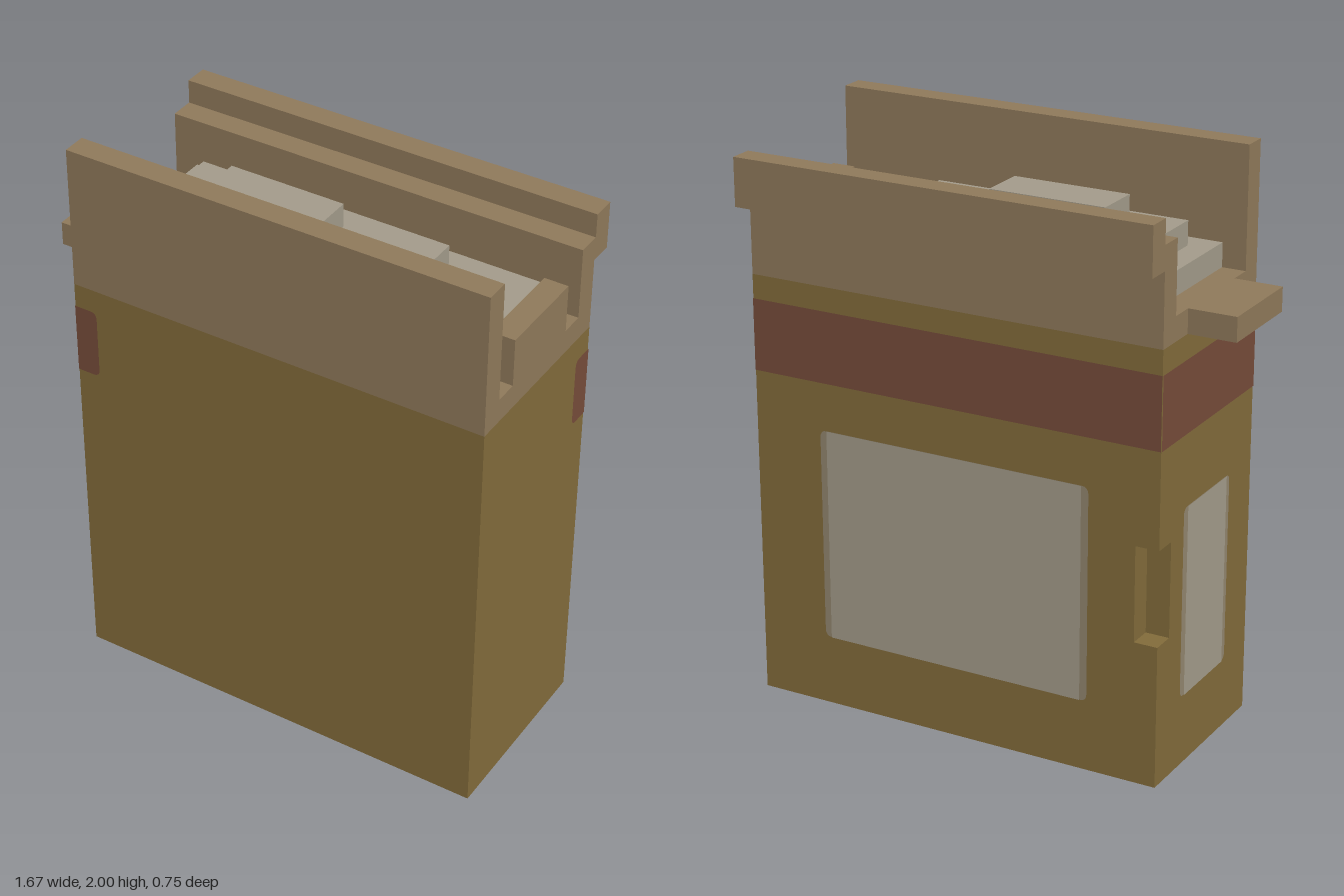
import * as THREE from 'three';

const U = 1 / 12; // one grid step of the blocky design

const material = (name, color) => {
  const m = new THREE.MeshStandardMaterial({ color });
  m.name = name;
  return m;
};

export function createModel() {
  const olive = material('olive', 0x836c3b);
  const tan = material('tan', 0x907a5b);
  const grey = material('warm grey', 0xa49c8b);
  const edge = material('panel edge', 0x93866f);
  const red = material('dark red', 0x774c3a);

  const model = new THREE.Group();
  model.name = 'boxContainer';

  const add = (name, geometry, mat) => {
    const mesh = new THREE.Mesh(geometry, mat);
    mesh.name = name;
    model.add(mesh);
    return mesh;
  };

  // Box given by its limits in grid steps
  const box = (name, mat, [x0, x1], [y0, y1], [z0, z1]) => {
    const g = new THREE.BoxGeometry(x1 - x0, y1 - y0, z1 - z0);
    add(name, g.translate((x0 + x1) / 2, (y0 + y1) / 2, (z0 + z1) / 2), mat);
  };

  // Painted plate on a wall: a runs to the right as seen facing that wall
  const walls = {
    front: [0, 4.5], plusX: [Math.PI / 2, 10],
    back: [Math.PI, 3.5], minusX: [-Math.PI / 2, 8],
  };
  const plate = (name, mat, wall, [a0, a1], [y0, y1], rLeft, rRight, lift = 0.03) => {
    const [angle, distance] = walls[wall];
    const s = new THREE.Shape();
    s.moveTo(a0 + rLeft, y0);
    s.lineTo(a1 - rRight, y0);
    s.quadraticCurveTo(a1, y0, a1, y0 + rRight);
    s.lineTo(a1, y1 - rRight);
    s.quadraticCurveTo(a1, y1, a1 - rRight, y1);
    s.lineTo(a0 + rLeft, y1);
    s.quadraticCurveTo(a0, y1, a0, y1 - rLeft);
    s.lineTo(a0, y0 + rLeft);
    s.quadraticCurveTo(a0, y0, a0 + rLeft, y0);
    const g = new THREE.ShapeGeometry(s, 4);
    add(name, g.translate(0, 0, distance + lift).rotateY(angle), mat);
  };

  // Body, with a small notch cut into the back corner
  const bodyX = [-8, 10], bodyZ = [-3.5, 4.5];
  box('bodyBottom', olive, bodyX, [0, 6], bodyZ);
  const notched = new THREE.Shape([
    [-8, -4.5], [10, -4.5], [10, 3.5], [-7, 3.5], [-7, 2.5], [-8, 2.5],
  ].map(([x, y]) => new THREE.Vector2(x, y)));
  const middle = new THREE.ExtrudeGeometry(notched, { depth: 4, bevelEnabled: false });
  add('bodyMiddle', middle.rotateX(-Math.PI / 2).translate(0, 6, 0), olive);
  box('bodyTop', olive, bodyX, [10, 18], bodyZ);

  // Upper rim: floor, walls, outer lip, end block and tab
  box('rimFloor', tan, bodyX, [18, 19], bodyZ);
  box('frontWall', tan, bodyX, [19, 24], [3.5, 4.5]);
  box('backWall', tan, bodyX, [19, 22], [-3.5, -2.5]);
  box('backLip', tan, bodyX, [21, 23], [-4.5, -3.5]);
  box('endBlock', tan, [9, 10], [19, 21], [-1.5, 2.5]);
  box('sideTab', tan, [-10, -8], [18, 19], [-1.5, 2.5]);

  // Stepped contents
  box('contentsLower', grey, [-7, 9], [19, 20], [-2.5, 3.5]);
  box('contentsMiddle', grey, [-6, 5], [20, 21], [-1.5, 2.5]);
  box('contentsUpper', grey, [-4, 1], [21, 22], [-0.5, 1.5]);

  // Band wrapping round the back, with rounded ends
  const bandY = [14, 17];
  plate('bandFrontEnd', red, 'front', [-8, -7], bandY, 0, 0.3);
  plate('bandSide', red, 'minusX', [-3.5, 4.5], bandY, 0, 0);
  plate('bandBack', red, 'back', [-10, 8], bandY, 0, 0);
  plate('bandSideEnd', red, 'plusX', [2.5, 3.5], bandY, 0.3, 0);

  // Label panels with narrow side edges
  const label = (name, wall, [a0, a1], y) => {
    plate(name + 'Edge', edge, wall, [a0, a1], y, 0.3, 0.3);
    plate(name, grey, wall, [a0 + 0.3, a1 - 0.3], y, 0, 0, 0.06);
  };
  label('backLabel', 'back', [-7, 5], [3, 12]);
  label('sideLabel', 'minusX', [-1.5, 2.5], [3, 11]);

  model.scale.setScalar(U);
  return model;
}
